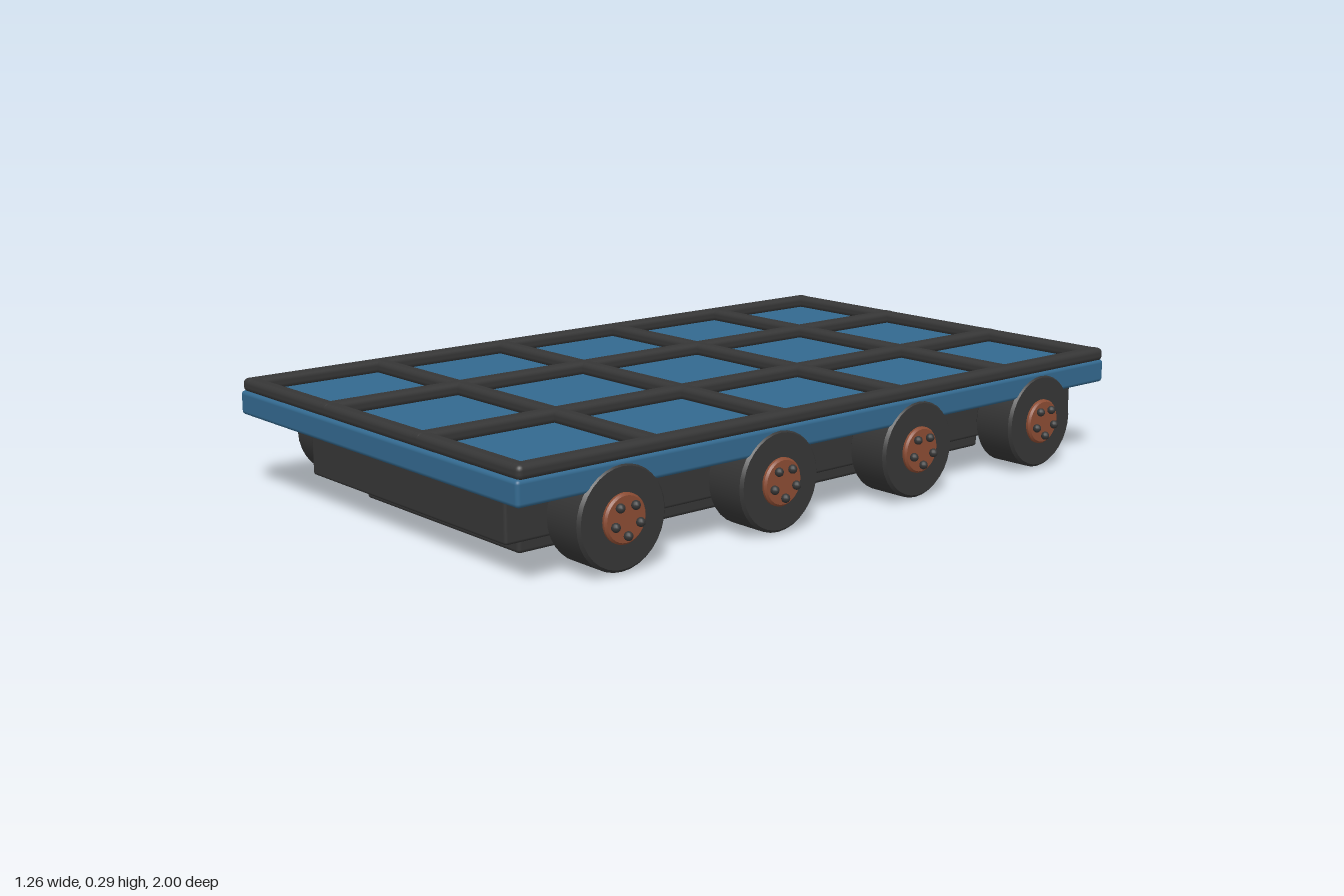
import * as THREE from 'three';
import { RoundedBoxGeometry } from 'three/addons/geometries/RoundedBoxGeometry.js';

const mat = (color) => new THREE.MeshStandardMaterial({ color });
const dark = mat(0x363636);
const blue = mat(0x33698f);
const copper = mat(0x8c4c33);
const amber = mat(0xb8901f);

// Rounded box given by its extents on each axis
function block(name, [x0, x1], [y0, y1], [z0, z1], radius, material) {
  const mesh = new THREE.Mesh(new RoundedBoxGeometry(x1 - x0, y1 - y0, z1 - z0, 3, radius), material);
  mesh.name = name;
  mesh.position.set((x0 + x1) / 2, (y0 + y1) / 2, (z0 + z1) / 2);
  return mesh;
}

// Disc with bevelled rims, turned about the x axis
function disc(name, radius, halfWidth, bevel, material) {
  const ring = [
    [0, -halfWidth], [radius - bevel, -halfWidth],
    [radius - bevel, -halfWidth], [radius, -halfWidth + bevel],
    [radius, -halfWidth + bevel], [radius, halfWidth - bevel],
    [radius, halfWidth - bevel], [radius - bevel, halfWidth],
    [radius - bevel, halfWidth], [0, halfWidth],
  ];
  const group = new THREE.Group();
  group.name = name;
  // one lathe per profile segment keeps the rims crisp
  for (let i = 0; i < ring.length; i += 2) {
    const points = ring.slice(i, i + 2).map(([r, y]) => new THREE.Vector2(r, y));
    const mesh = new THREE.Mesh(new THREE.LatheGeometry(points, 32), material);
    mesh.name = name + 'Surface';
    mesh.rotation.z = -Math.PI / 2;
    group.add(mesh);
  }
  return group;
}

function createWheel() {
  const wheel = new THREE.Group();
  wheel.name = 'wheel';
  wheel.add(disc('tyre', 0.125, 0.06, 0.007, dark));
  wheel.add(disc('hub', 0.059, 0.071, 0.005, copper));

  // Five wheel nuts on each face
  const nutGeometry = new THREE.SphereGeometry(0.011, 12, 8);
  for (const side of [-1, 1]) {
    for (let i = 0; i < 5; i++) {
      const a = -Math.PI / 2 + (i * Math.PI * 2) / 5;
      const nut = new THREE.Mesh(nutGeometry, dark);
      nut.name = 'wheelNut';
      nut.position.set(side * 0.078, Math.sin(a) * 0.037, Math.cos(a) * 0.037);
      wheel.add(nut);
    }
  }

  // Marker on the rear of the tread
  wheel.add(block('wheelMarker', [-0.018, 0.018], [-0.016, 0.016], [-0.128, -0.118], 0.002, amber));
  return wheel;
}

export function createModel() {
  const model = new THREE.Group();
  model.name = 'flatbedTrolley';

  // Body
  model.add(block('deck', [-0.595, 0.595], [0.2, 0.262], [-0.98, 1], 0.01, blue));
  model.add(block('chassis', [-0.415, 0.415], [0.06, 0.205], [-0.88, 0.905], 0.008, dark));
  model.add(block('bellyPan', [-0.325, 0.325], [0, 0.065], [-0.78, 0.805], 0.01, dark));
  model.add(block('rearBumper', [-0.475, 0.475], [0.07, 0.2], [-0.995, -0.89], 0.012, dark));

  // Rear lamps
  for (const x of [-0.2, 0.2]) {
    model.add(block('rearLamp', [x - 0.03, x + 0.03], [0.108, 0.162], [-1, -0.985], 0.003, amber));
  }

  // Grid of rails on the deck
  const rails = new THREE.Group();
  rails.name = 'deckRails';
  for (const x of [-0.573, -0.2, 0.2, 0.573]) {
    rails.add(block('longRail', [x - 0.021, x + 0.021], [0.258, 0.294], [-0.98, 0.995], 0.014, dark));
  }
  for (const z of [-0.959, -0.593, -0.197, 0.203, 0.599, 0.974]) {
    rails.add(block('crossRail', [-0.594, 0.594], [0.258, 0.293], [z - 0.021, z + 0.021], 0.014, dark));
  }
  model.add(rails);

  // Four wheels along each side
  for (const side of [-1, 1]) {
    for (const z of [0.718, 0.242, -0.235, -0.712]) {
      const wheel = createWheel();
      wheel.position.set(side * 0.539, 0.13, z);
      model.add(wheel);
    }
  }
  return model;
}
